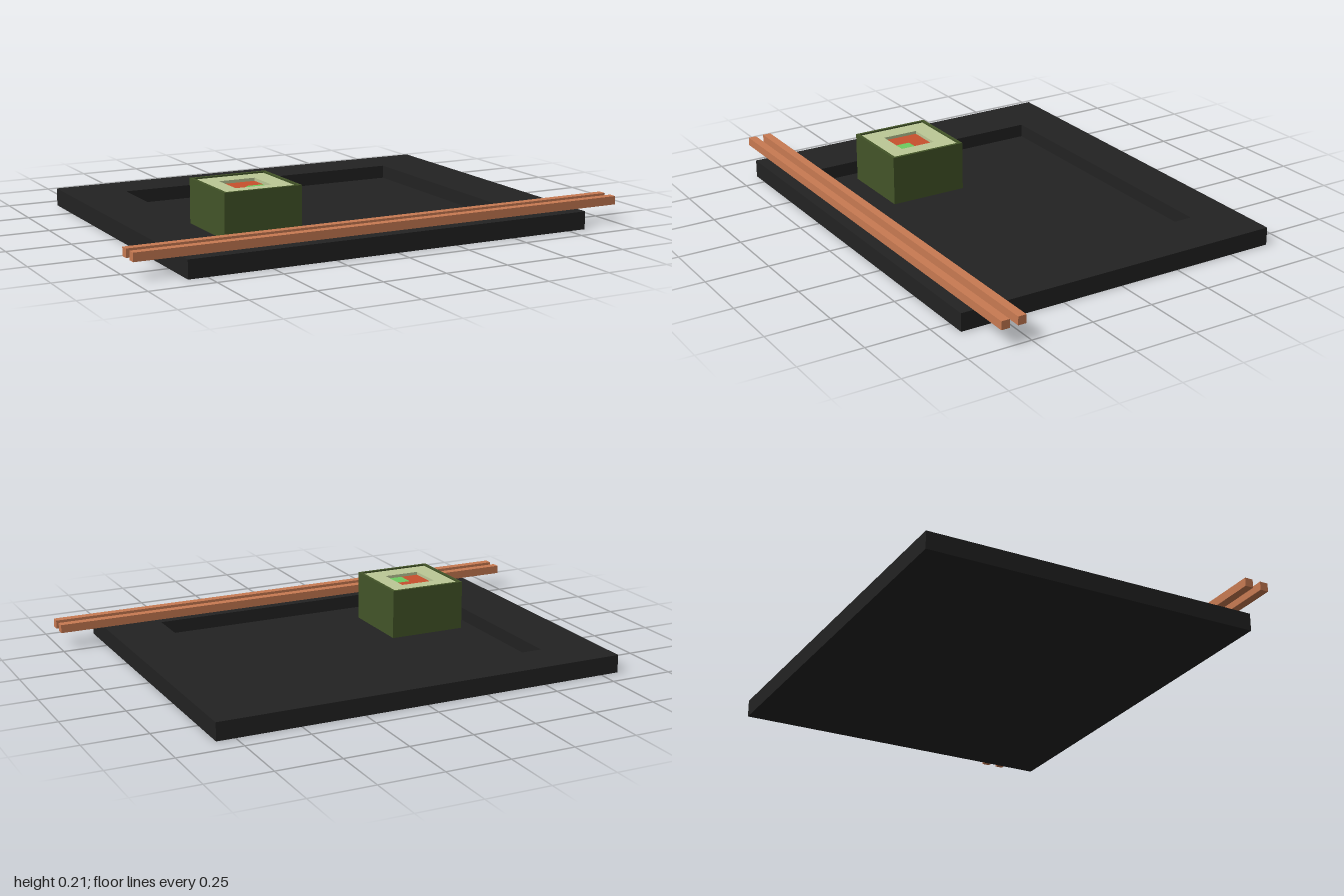
import * as THREE from 'three';

const mat = (color) => new THREE.MeshStandardMaterial({ color, flatShading: true });

// Box placed by its minimum and maximum corners
function block(name, material, [x0, y0, z0], [x1, y1, z1]) {
  const mesh = new THREE.Mesh(new THREE.BoxGeometry(x1 - x0, y1 - y0, z1 - z0), material);
  mesh.name = name;
  mesh.position.set((x0 + x1) / 2, (y0 + y1) / 2, (z0 + z1) / 2);
  return mesh;
}

function rectangle(path, w, d) {
  path.moveTo(-w / 2, -d / 2);
  path.lineTo(w / 2, -d / 2);
  path.lineTo(w / 2, d / 2);
  path.lineTo(-w / 2, d / 2);
  path.closePath();
  return path;
}

// Upright rectangular ring standing on y = 0
function ring(name, material, w, d, innerW, innerD, height) {
  const shape = rectangle(new THREE.Shape(), w, d);
  shape.holes.push(rectangle(new THREE.Path(), innerW, innerD));
  const geometry = new THREE.ExtrudeGeometry(shape, { depth: height, bevelEnabled: false });
  geometry.rotateX(-Math.PI / 2);
  const mesh = new THREE.Mesh(geometry, material);
  mesh.name = name;
  return mesh;
}

export function createModel() {
  const model = new THREE.Group();
  model.name = 'sushiPlate';
  const black = mat(0x222222), seaweed = mat(0x435428), rice = mat(0xbcc896);
  const salmon = mat(0xc8502d), cucumber = mat(0x6ecb60), wood = mat(0xc87a52);
  const floorY = 0.017;

  // Plate: raised rim around a sunken floor
  const plate = new THREE.Group();
  plate.name = 'plate';
  plate.add(ring('plateRim', black, 1.645, 1.34, 1.19, 0.97, 0.07));
  plate.add(block('plateFloor', black, [-0.595, 0, -0.485], [0.595, floorY, 0.485]));
  model.add(plate);

  // Square sushi roll: wrapper, rice, and slightly sunken filling
  const roll = new THREE.Group();
  roll.name = 'sushiRoll';
  roll.position.set(-0.382, floorY, 0.192);
  roll.add(ring('seaweedWrapper', seaweed, 0.314, 0.314, 0.29, 0.29, 0.196));
  roll.add(ring('rice', rice, 0.29, 0.29, 0.146, 0.146, 0.19));
  const top = 0.178;
  roll.add(block('salmonBack', salmon, [-0.073, 0, -0.073], [0.073, top, 0]));
  roll.add(block('salmonFront', salmon, [-0.073, 0, 0], [0, top, 0.073]));
  roll.add(block('cucumber', cucumber, [0, 0, 0], [0.073, top, 0.073]));
  model.add(roll);

  // Pair of chopsticks resting on the front rim
  for (const [i, z] of [0.538, 0.604].entries()) {
    model.add(block(`chopstick${i + 1}`, wood, [-1, 0.07, z - 0.0165], [1, 0.103, z + 0.0165]));
  }
  return model;
}
